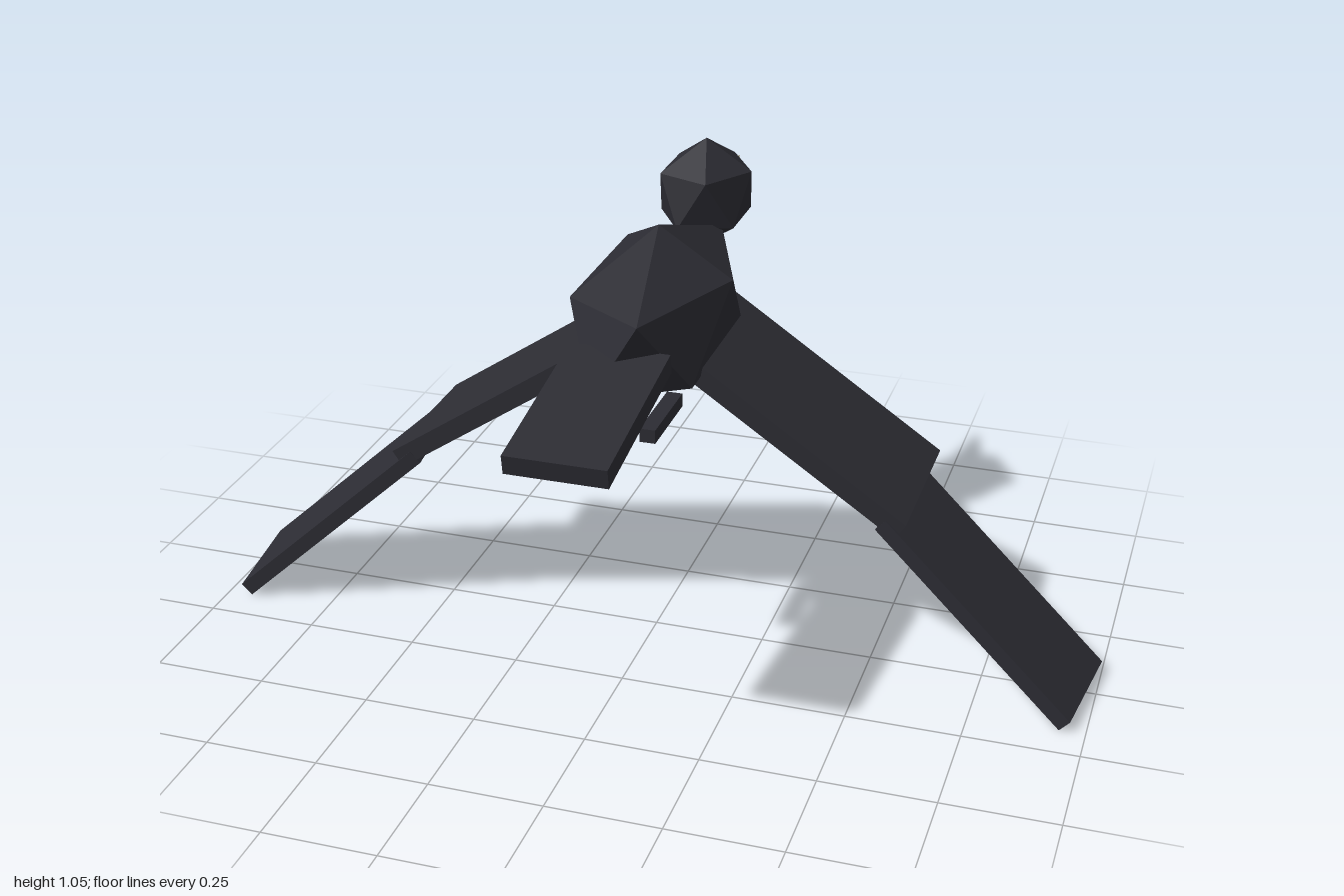
import * as THREE from 'three';
import { ConvexGeometry } from 'three/addons/geometries/ConvexGeometry.js';

const plumage = new THREE.MeshStandardMaterial({ name: 'dark plumage', color: 0x2c2c33, flatShading: true });
const horn = new THREE.MeshStandardMaterial({ name: 'horn', color: 0x9c8b62, flatShading: true });

function add(group, name, geometry, material, x, y, z) {
  const mesh = new THREE.Mesh(geometry, material);
  mesh.name = name;
  mesh.position.set(x, y, z);
  group.add(mesh);
  return mesh;
}

// Twenty-sided ball standing on a corner, stretched to the given radii
function icoBall(rx, ry, rz) {
  const points = [new THREE.Vector3(0, ry, 0), new THREE.Vector3(0, -ry, 0)];
  const ring = 2 / Math.sqrt(5), height = 1 / Math.sqrt(5);
  for (let i = 0; i < 5; i++) {
    const a = (i * 2 * Math.PI) / 5;
    const x = Math.cos(a) * ring * rx, z = Math.sin(a) * ring * rz;
    points.push(new THREE.Vector3(x, height * ry, z), new THREE.Vector3(-x, -height * ry, -z));
  }
  return new ConvexGeometry(points);
}

// Flat wing panel whose outer end is centred on (x, y, z); side is +1 or -1
function wingPanel(group, name, side, end, size, drop, sweep) {
  const geometry = new THREE.BoxGeometry(...size).translate((-side * size[0]) / 2, 0, 0);
  const mesh = add(group, name, geometry, plumage, side * end[0], end[1], end[2]);
  mesh.rotation.order = 'YXZ';
  mesh.rotation.z = -side * THREE.MathUtils.degToRad(drop);
  mesh.rotation.y = -side * THREE.MathUtils.degToRad(sweep);
}

export function createModel() {
  const bird = new THREE.Group();
  bird.name = 'bird';

  // Body and head
  add(bird, 'body', icoBall(0.184, 0.1925, 0.364), plumage, 0, 0.7725, -0.015);
  add(bird, 'head', icoBall(0.118, 0.124, 0.141), plumage, 0, 0.921, -0.37);

  // Four-sided beak pointing to -z
  const beak = new THREE.ConeGeometry(0.045, 0.18, 4).rotateX(-Math.PI / 2);
  add(bird, 'beak', beak, horn, 0, 0.914, -0.56);

  // Tail sloping down to the rear
  const tail = add(bird, 'tail', new THREE.BoxGeometry(0.216, 0.043, 0.407), plumage, 0, 0.732, 0.443);
  tail.rotation.x = THREE.MathUtils.degToRad(10);

  // Wings and tucked feet
  for (const side of [1, -1]) {
    const label = side > 0 ? 'left' : 'right';
    wingPanel(bird, label + 'InnerWing', side, [0.573, 0.387, -0.073], [0.63, 0.043, 0.375], 34, 0);
    wingPanel(bird, label + 'OuterWing', side, [0.971, 0.0125, 0.034], [0.575, 0.034, 0.268], 42, 7);
    add(bird, label + 'Foot', new THREE.BoxGeometry(0.034, 0.03, 0.19), plumage, side * 0.072, 0.62, 0.195);
  }
  return bird;
}
